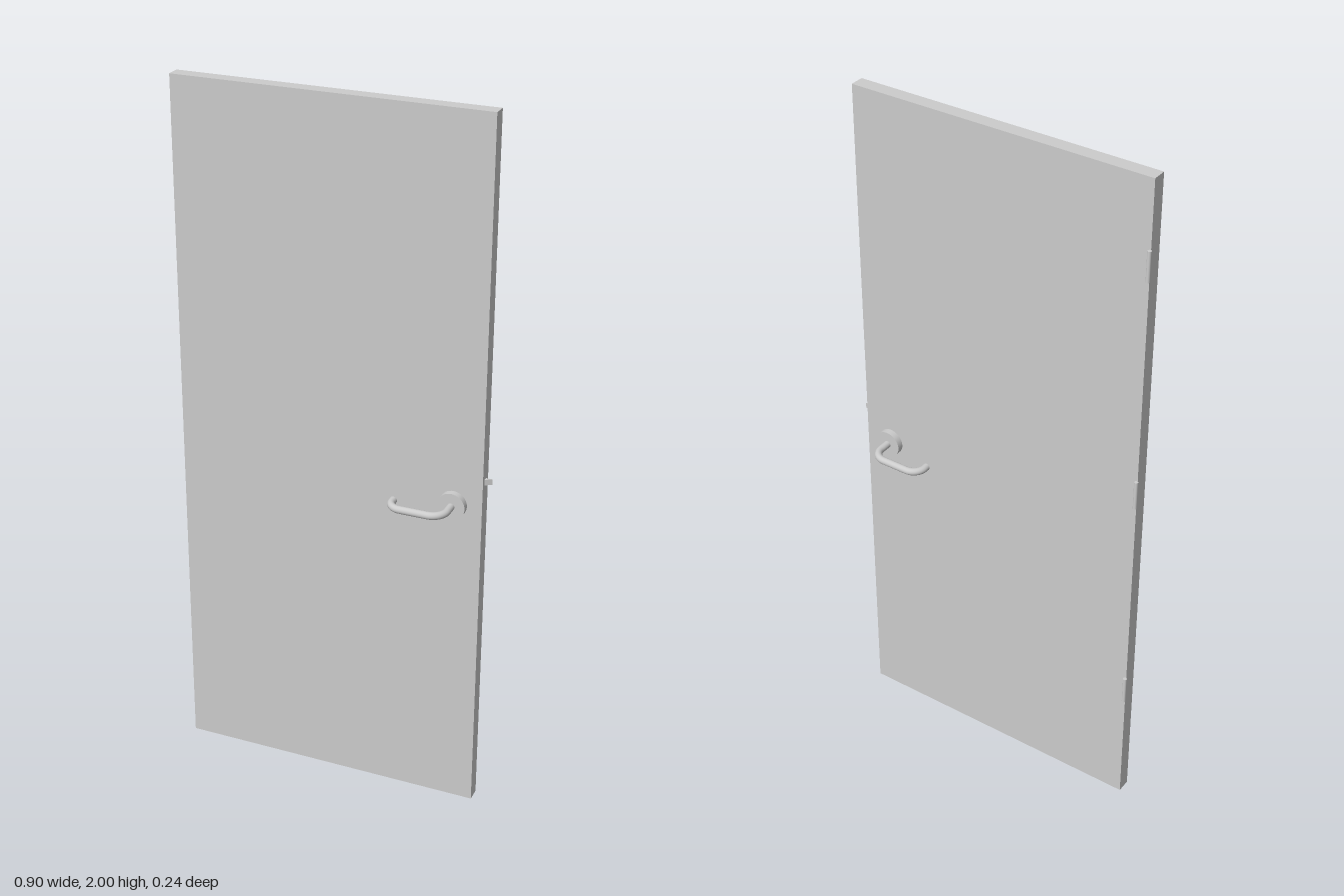
import * as THREE from 'three';

const material = new THREE.MeshStandardMaterial({ color: 0xcccccc });
const WIDTH = 0.877, HEIGHT = 2, DEPTH = 0.04;
const HANDLE_X = 0.358, HANDLE_Y = 0.932;

function part(name, geometry, parent, x = 0, y = 0, z = 0) {
  const mesh = new THREE.Mesh(geometry, material);
  mesh.name = name;
  mesh.position.set(x, y, z);
  parent.add(mesh);
  return mesh;
}

// Round rosette with a bent lever that returns towards the door, facing +z
function makeHandle(name) {
  const handle = new THREE.Group();
  handle.name = name;
  const rose = new THREE.CylinderGeometry(0.0385, 0.0385, 0.0195, 40).rotateX(Math.PI / 2);
  part('rosette', rose, handle, 0, 0, 0.0288);

  const v = (x, z) => new THREE.Vector3(x, 0, z);
  const k = 0.45; // share of the corner left beyond each bezier control point
  const bar = 0.1065, reach = -0.153, r1 = 0.04, r2 = 0.035;
  const path = new THREE.CurvePath();
  path.add(new THREE.LineCurve3(v(0, 0.03), v(0, bar - r1)));
  path.add(new THREE.CubicBezierCurve3(
    v(0, bar - r1), v(0, bar - r1 * k), v(-r1 * k, bar), v(-r1, bar)));
  path.add(new THREE.LineCurve3(v(-r1, bar), v(reach + r2, bar)));
  path.add(new THREE.CubicBezierCurve3(
    v(reach + r2, bar), v(reach + r2 * k, bar), v(reach, bar - r2 * k), v(reach, bar - r2)));
  path.add(new THREE.LineCurve3(v(reach, bar - r2), v(reach, 0.062)));
  part('lever', new THREE.TubeGeometry(path, 72, 0.0105, 20), handle);

  // Flat cap closing the free end, facing the door
  part('leverEnd', new THREE.CircleGeometry(0.0105, 20).rotateY(Math.PI), handle, reach, 0, 0.062);
  return handle;
}

export function createModel() {
  const model = new THREE.Group();
  model.name = 'door';

  // Everything hangs on the leaf, which is swung slightly open
  const leaf = new THREE.Group();
  leaf.name = 'doorLeaf';
  leaf.position.set(-0.005, 0, 0.0245);
  leaf.rotation.y = 0.098;
  model.add(leaf);

  part('panel', new THREE.BoxGeometry(WIDTH, HEIGHT, DEPTH), leaf, 0, HEIGHT / 2, 0);

  // Hinge knuckles on the back edge
  for (const y of [0.405, 1.09, 1.77]) {
    part('hinge', new THREE.CylinderGeometry(0.0055, 0.0055, 0.085, 20), leaf, -0.438, y, -0.0265);
  }

  // Bevelled latch bolt in the free edge
  const wedge = new THREE.Shape([
    new THREE.Vector2(0.43, -0.0085),
    new THREE.Vector2(0.4385, -0.0085),
    new THREE.Vector2(0.4565, 0.0035),
    new THREE.Vector2(0.43, 0.0035),
  ]);
  const bolt = new THREE.ExtrudeGeometry(wedge, { depth: 0.016, bevelEnabled: false });
  bolt.rotateX(-Math.PI / 2);
  part('latchBolt', bolt, leaf, 0, 0.998, 0);

  // Handles on both faces; the back one is turned over end to end
  const front = makeHandle('frontHandle');
  const back = makeHandle('backHandle');
  back.rotation.x = Math.PI;
  for (const handle of [front, back]) {
    handle.position.set(HANDLE_X, HANDLE_Y, 0);
    leaf.add(handle);
  }

  return model;
}
